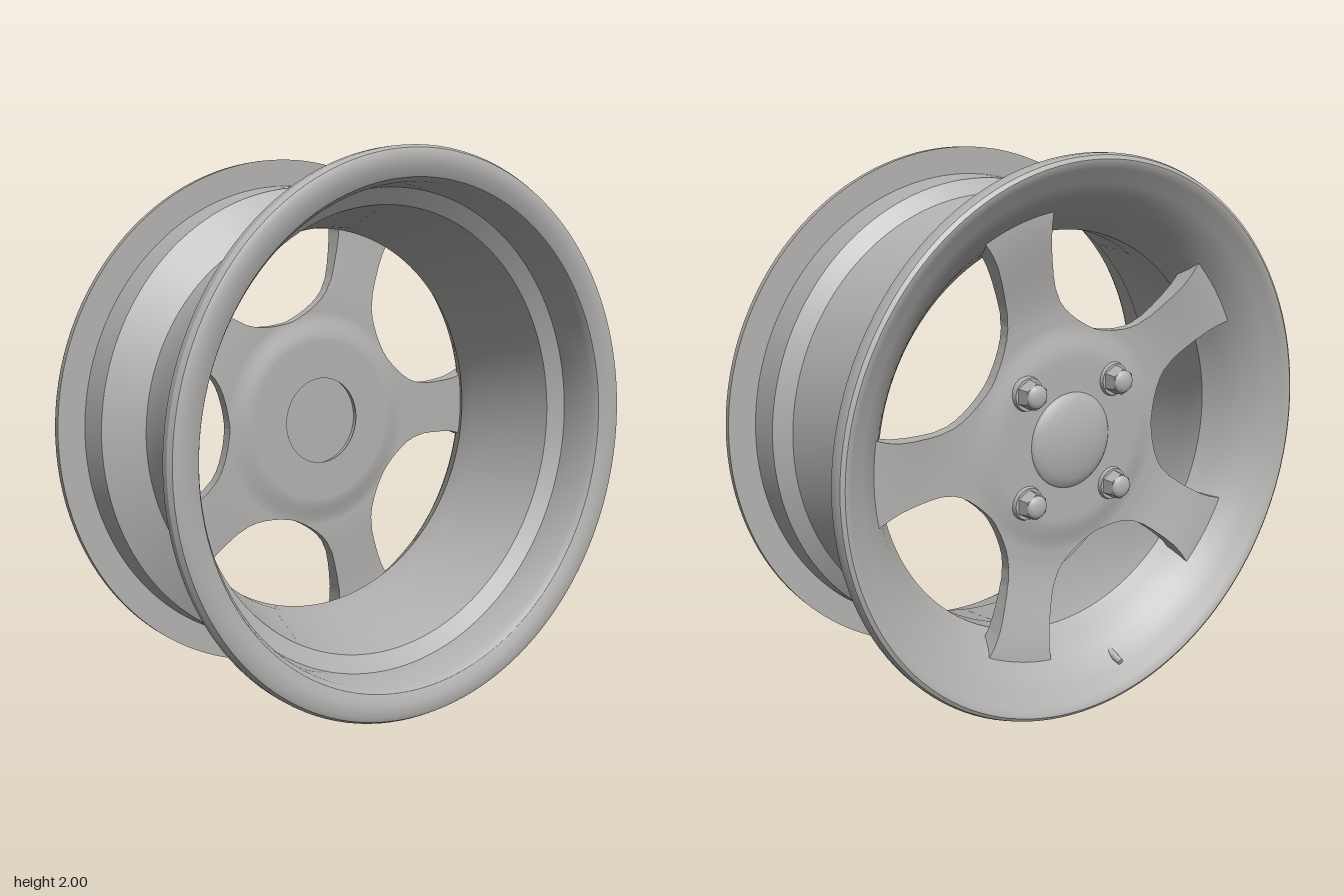
import * as THREE from 'three';
import { toCreasedNormals } from 'three/addons/utils/BufferGeometryUtils.js';
import { ParametricGeometry } from 'three/addons/geometries/ParametricGeometry.js';

const metal = new THREE.MeshStandardMaterial({ color: 0xb2b1af });
metal.name = 'grey metal';

function add(parent, name, geometry) {
  const mesh = new THREE.Mesh(geometry, metal);
  mesh.name = name;
  parent.add(mesh);
  return mesh;
}

// Revolve [radius, z] points about the z axis
function revolve(points, segments, crease = 0.5) {
  const geometry = new THREE.LatheGeometry(points.map(([r, z]) => new THREE.Vector2(r, z)), segments);
  return toCreasedNormals(geometry.rotateX(Math.PI / 2), crease);
}

// Closed rim section: back lip, barrel outside, front lip, barrel inside, dish
const rimProfile = [
  [0.95, -0.42], [0.965, -0.432], [0.98, -0.435], [0.993, -0.427], [1, -0.41], [1, -0.385],
  [0.9, -0.385], [0.89, -0.27], [0.755, -0.2], [0.755, -0.11], [0.835, 0.22], [0.89, 0.265],
  [0.9, 0.385], [1, 0.385], [1, 0.41], [0.99, 0.427], [0.97, 0.435], [0.93, 0.431],
  [0.895, 0.415], [0.88, 0.39], [0.868, 0.26], [0.81, 0.22], [0.738, -0.11], [0.735, -0.2],
  [0.765, -0.245], [0.79, -0.285], [0.82, -0.32], [0.86, -0.36], [0.905, -0.395], [0.95, -0.42],
];

// Radius and half-angle in degrees along one spoke sector
const spokeEdge = [
  [0.165, 36], [0.25, 36], [0.31, 36], [0.34, 36], [0.37, 36], [0.39, 36], [0.404, 36],
  [0.406, 33], [0.411, 30], [0.418, 26.8], [0.43, 23.2], [0.448, 19.4], [0.47, 16.2],
  [0.5, 13.5], [0.55, 11.2], [0.6, 10.2], [0.66, 9.5], [0.72, 9.2], [0.77, 9.5], [0.82, 10.2],
];
const WINDOW_START = 6;
const step = THREE.MathUtils.smoothstep;
const frontZ = (r) => -0.2 - 0.02 * step(r, 0.31, 0.42) - 0.02 * step(r, 0.42, 0.78);
const backZ = (r) => -0.28 + 0.02 * step(r, 0.3, 0.42) - 0.057 * step(r, 0.45, 0.84);

// Interpolate the spoke outline; t runs 0..1 over the table from a given row
function edgeAt(t, start = 0) {
  const last = spokeEdge.length - 1;
  const f = THREE.MathUtils.clamp(start + t * (last - start), 0, last);
  const i = Math.min(Math.floor(f), last - 1);
  const [r0, a0] = spokeEdge[i];
  const [r1, a1] = spokeEdge[i + 1];
  const r = THREE.MathUtils.lerp(r0, r1, f - i);
  return [r, THREE.MathUtils.degToRad(THREE.MathUtils.lerp(a0, a1, f - i))];
}
const polar = (target, r, a, z) => target.set(r * Math.cos(a), r * Math.sin(a), z);

function spokeFace(t, s, height, target) {
  const [r, half] = edgeAt(t);
  polar(target, r, half * (2 * s - 1), height(r));
}
function spokeWall(t, s, side, target) {
  const [r, half] = edgeAt(t, WINDOW_START);
  polar(target, r, half * side, THREE.MathUtils.lerp(backZ(r), frontZ(r), s));
}

function createSpoke() {
  const spoke = new THREE.Group();
  const rows = (spokeEdge.length - 1) * 2;
  const wallRows = (spokeEdge.length - 1 - WINDOW_START) * 2;
  add(spoke, 'spokeFront', new ParametricGeometry((u, v, p) => spokeFace(u, v, frontZ, p), rows, 16));
  add(spoke, 'spokeBack', new ParametricGeometry((u, v, p) => spokeFace(v, u, backZ, p), 16, rows));
  add(spoke, 'spokeWallA', new ParametricGeometry((u, v, p) => spokeWall(v, u, 1, p), 2, wallRows));
  add(spoke, 'spokeWallB', new ParametricGeometry((u, v, p) => spokeWall(u, v, -1, p), wallRows, 2));
  return spoke;
}

function createNut() {
  const nut = new THREE.Group();
  const seat = add(nut, 'nutSeat', new THREE.CylinderGeometry(0.058, 0.064, 0.02, 24));
  seat.position.y = 0.005;
  const hex = new THREE.CylinderGeometry(0.047, 0.054, 0.045, 6);
  add(nut, 'nutHex', toCreasedNormals(hex, 0.5)).position.y = 0.035;
  const dome = add(nut, 'nutDome', new THREE.SphereGeometry(0.042, 20, 8, 0, Math.PI * 2, 0, Math.PI / 2));
  dome.position.y = 0.056;
  dome.scale.y = 0.45;
  nut.rotation.x = -Math.PI / 2;
  return nut;
}

export function createModel() {
  const model = new THREE.Group();
  model.name = 'wheelRim';
  const wheel = new THREE.Group();
  wheel.name = 'wheel';
  wheel.position.y = 1;
  model.add(wheel);

  add(wheel, 'rim', revolve(rimProfile, 128));

  // Five spokes whose inner sectors join into the hub
  for (let i = 0; i < 5; i++) {
    const spoke = createSpoke();
    spoke.name = 'spoke' + (i + 1);
    spoke.rotation.z = (i * Math.PI * 2) / 5;
    wheel.add(spoke);
  }

  // Shallow bore on the front of the hub, domed cap on the back
  add(wheel, 'hubBore', revolve([[0.172, -0.2], [0.172, -0.225], [0, -0.225]], 64));
  add(wheel, 'hubCap', revolve(
    [[0, -0.317], [0.05, -0.315], [0.1, -0.308], [0.14, -0.298], [0.167, -0.287], [0.177, -0.278], [0.177, -0.262]], 64, 0.9));

  // Four wheel nuts
  for (const x of [-1, 1]) {
    for (const y of [-1, 1]) {
      const nut = createNut();
      nut.name = 'wheelNut';
      nut.position.set(x * 0.193, y * 0.197, -0.278);
      wheel.add(nut);
    }
  }

  // Valve stem passing through the dish
  const inner = new THREE.Vector3(-0.14, -0.795, -0.2);
  const outer = new THREE.Vector3(-0.155, -0.865, -0.4);
  const direction = outer.clone().sub(inner);
  const valve = add(wheel, 'valveStem', new THREE.CylinderGeometry(0.012, 0.024, direction.length(), 16));
  valve.position.copy(inner).add(outer).multiplyScalar(0.5);
  valve.quaternion.setFromUnitVectors(new THREE.Vector3(0, 1, 0), direction.normalize());

  return model;
}
